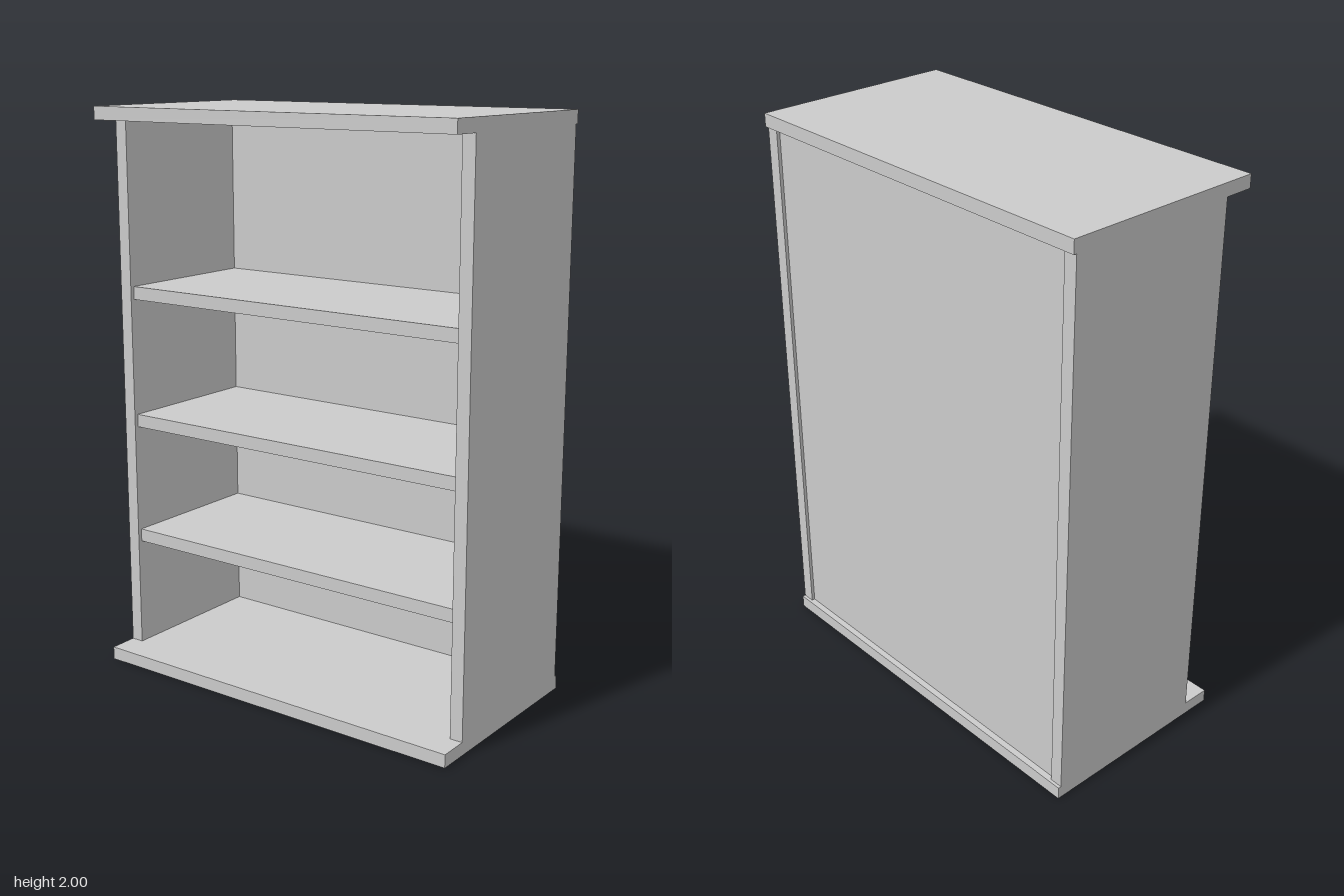
import * as THREE from 'three';

export function createModel() {
  const model = new THREE.Group();
  const material = new THREE.MeshStandardMaterial({ color: 0xcccccc, flatShading: true });

  // Board spanning the given limits on each axis
  function board(name, [x0, x1], [y0, y1], [z0, z1]) {
    const mesh = new THREE.Mesh(new THREE.BoxGeometry(x1 - x0, y1 - y0, z1 - z0), material);
    mesh.position.set((x0 + x1) / 2, (y0 + y1) / 2, (z0 + z1) / 2);
    mesh.name = name;
    model.add(mesh);
  }

  const outer = 0.717, inner = 0.671; // half widths outside and inside the sides
  const thick = 0.046;
  const floorY = thick, ceilingY = 2 - thick;
  const panelFront = -0.3, panelBack = -0.345;

  // Top and base overhang the sides at the front and slightly at the back
  board('base', [-outer, outer], [0, floorY], [-0.368, 0.368]);
  board('top', [-outer, outer], [ceilingY, 2], [-0.368, 0.368]);

  // Side walls
  board('rightSide', [-outer, -inner], [floorY, ceilingY], [-0.357, 0.265]);
  board('leftSide', [inner, outer], [floorY, ceilingY], [-0.357, 0.265]);

  // Back panel, recessed between the sides
  board('backPanel', [-inner, inner], [floorY, ceilingY], [panelBack, panelFront]);

  // Shelves, set back a little from the front of the sides
  [0.457, 0.889, 1.352].forEach((y, i) =>
    board(`shelf${i + 1}`, [-inner, inner], [y - thick / 2, y + thick / 2], [panelFront, 0.25]));

  return model;
}
